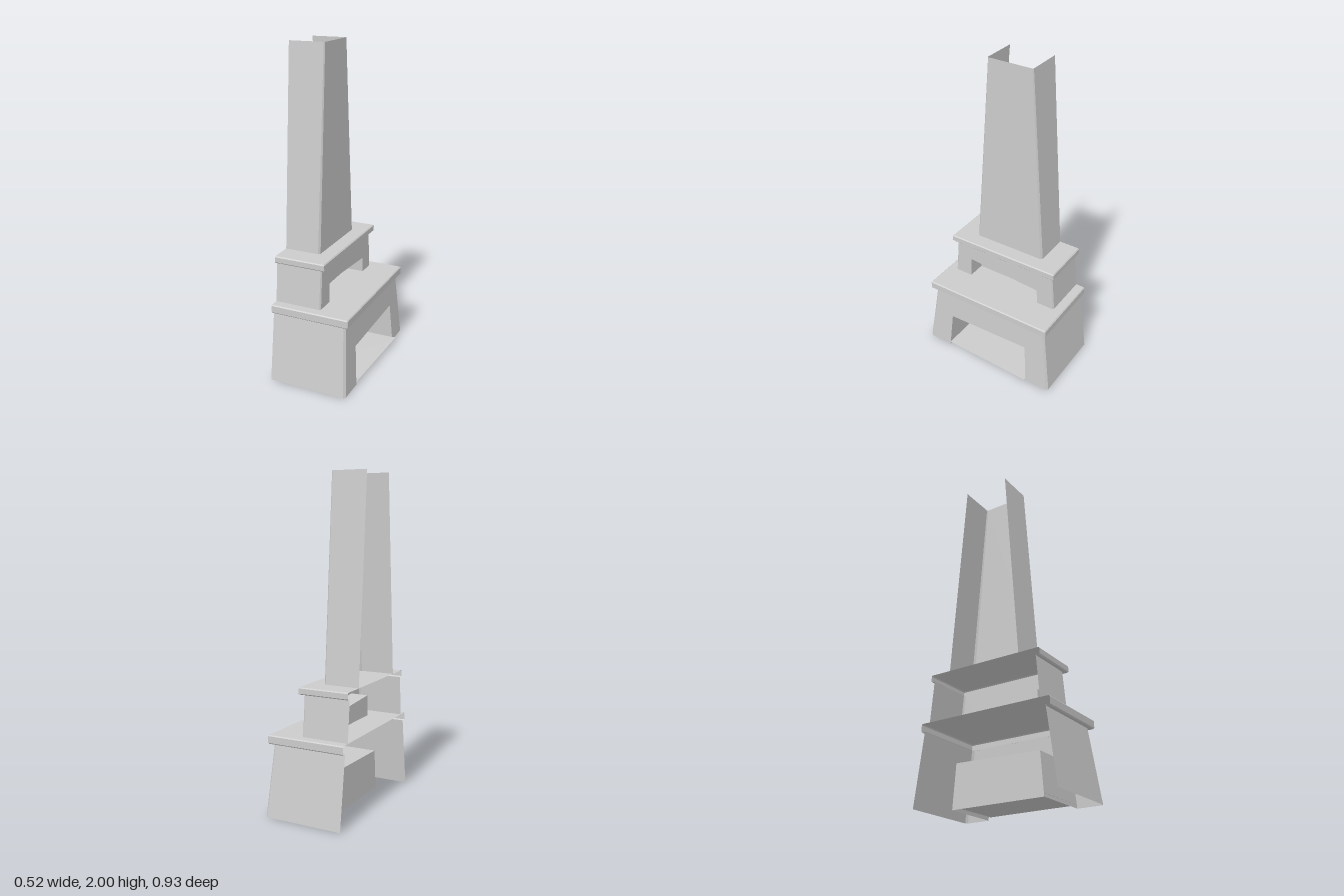
import * as THREE from 'three';

const BACK = -0.26; // open rear plane, where the chimney meets the wall
const material = new THREE.MeshStandardMaterial({ color: 0xcccccc, side: THREE.DoubleSide });

// Mesh from flat polygons, each a list of [x, y, z] corners, counter-clockwise
function faces(name, polygons) {
  const pos = [];
  for (const p of polygons)
    for (let i = 1; i < p.length - 1; i++) pos.push(...p[0], ...p[i], ...p[i + 1]);
  const g = new THREE.BufferGeometry();
  g.setAttribute('position', new THREE.Float32BufferAttribute(pos, 3));
  g.computeVertexNormals();
  const mesh = new THREE.Mesh(g, material);
  mesh.name = name;
  return mesh;
}

// U-shaped section, open at the back, with chamfered front corners
function section(y, front, half, bevel) {
  return [
    [BACK, y, half], [front - bevel, y, half], [front, y, half - bevel],
    [front, y, bevel - half], [front - bevel, y, -half], [BACK, y, -half],
  ];
}

// Walls between successive sections; optionally leaves out the front face
function walls(sections, skipFront = false) {
  const out = [];
  for (let s = 0; s < sections.length - 1; s++) {
    const a = sections[s], b = sections[s + 1];
    for (let i = 0; i < 5; i++)
      if (!(skipFront && i === 2)) out.push([a[i], a[i + 1], b[i + 1], b[i]]);
  }
  return out;
}

// Block with an opening in its front and a recess behind it.
// low/high: { y, x, z } of the block; hole: half widths and heights at the +z and -z ends
function block(name, low, high, bevel, hole) {
  const group = new THREE.Group();
  group.name = name;
  const bottom = section(low.y, low.x, low.z, bevel);
  const top = section(high.y, high.x, high.z, bevel);
  const frontX = y => low.x + (high.x - low.x) * (y - low.y) / (high.y - low.y);
  const at = (y, z) => [frontX(y), y, z];
  const back = p => [hole.depth, p[1], p[2]];

  const lb = at(low.y, hole.bottom), rb = at(low.y, -hole.bottom);
  const lt = at(hole.leftY, hole.top), rt = at(hole.rightY, -hole.top);
  group.add(faces('blockWalls', [
    ...walls([bottom, top], true),
    [bottom[2], lb, lt, top[2]],
    [rb, bottom[3], top[3], rt],
    [lt, rt, top[3], top[2]],
  ]));
  group.add(faces('recess', [
    [back(lb), back(rb), back(rt), back(lt)],
    [lb, back(lb), back(lt), lt],
    [back(rb), rb, rt, back(rt)],
    [lt, back(lt), back(rt), rt],
  ]));
  return group;
}

// Overhanging shelf: soft-edged rim, full top and an underside lip around the block below
function shelf(name, y0, y1, front, half, inner) {
  const e = 0.006;
  const rings = [
    section(y0, inner.x, inner.z, 0.006),
    section(y0, front - e, half - e, 0.004),
    section(y0 + e, front, half, 0.004),
    section(y1 - e, front, half, 0.004),
    section(y1, front - e, half - e, 0.004),
  ];
  return faces(name, [...walls(rings), rings[4]]);
}

export function createModel() {
  const model = new THREE.Group();
  model.name = 'fireplace';

  // Firebox base with the large hearth opening
  model.add(block('fireboxBase',
    { y: 0, x: 0.235, z: 0.465 }, { y: 0.44, x: 0.208, z: 0.405 }, 0.012,
    { bottom: 0.3, top: 0.28, leftY: 0.25, rightY: 0.265, depth: -0.118 }));

  // Hearth floor, slightly skewed past the front
  model.add(faces('hearthFloor', [
    [[-0.118, 0.02, 0.3], [0.235, 0.02, 0.3], [0.258, 0.024, -0.302], [-0.118, 0.02, -0.3]],
  ]));

  model.add(shelf('lowerShelf', 0.435, 0.488, 0.235, 0.432, { x: 0.208, z: 0.405 }));

  // Middle block with its shallow niche
  model.add(block('nicheBlock',
    { y: 0.488, x: 0.034, z: 0.372 }, { y: 0.737, x: 0.034, z: 0.35 }, 0.008,
    { bottom: 0.253, top: 0.247, leftY: 0.62, rightY: 0.585, depth: -0.08 }));

  model.add(shelf('upperShelf', 0.735, 0.778, 0.06, 0.374, { x: 0.034, z: 0.35 }));

  // Tapered chimney, open at the top and back
  model.add(faces('chimney', walls([
    section(0.778, -0.034, 0.238, 0.011),
    section(2, -0.036, 0.146, 0.006),
  ])));

  return model;
}
